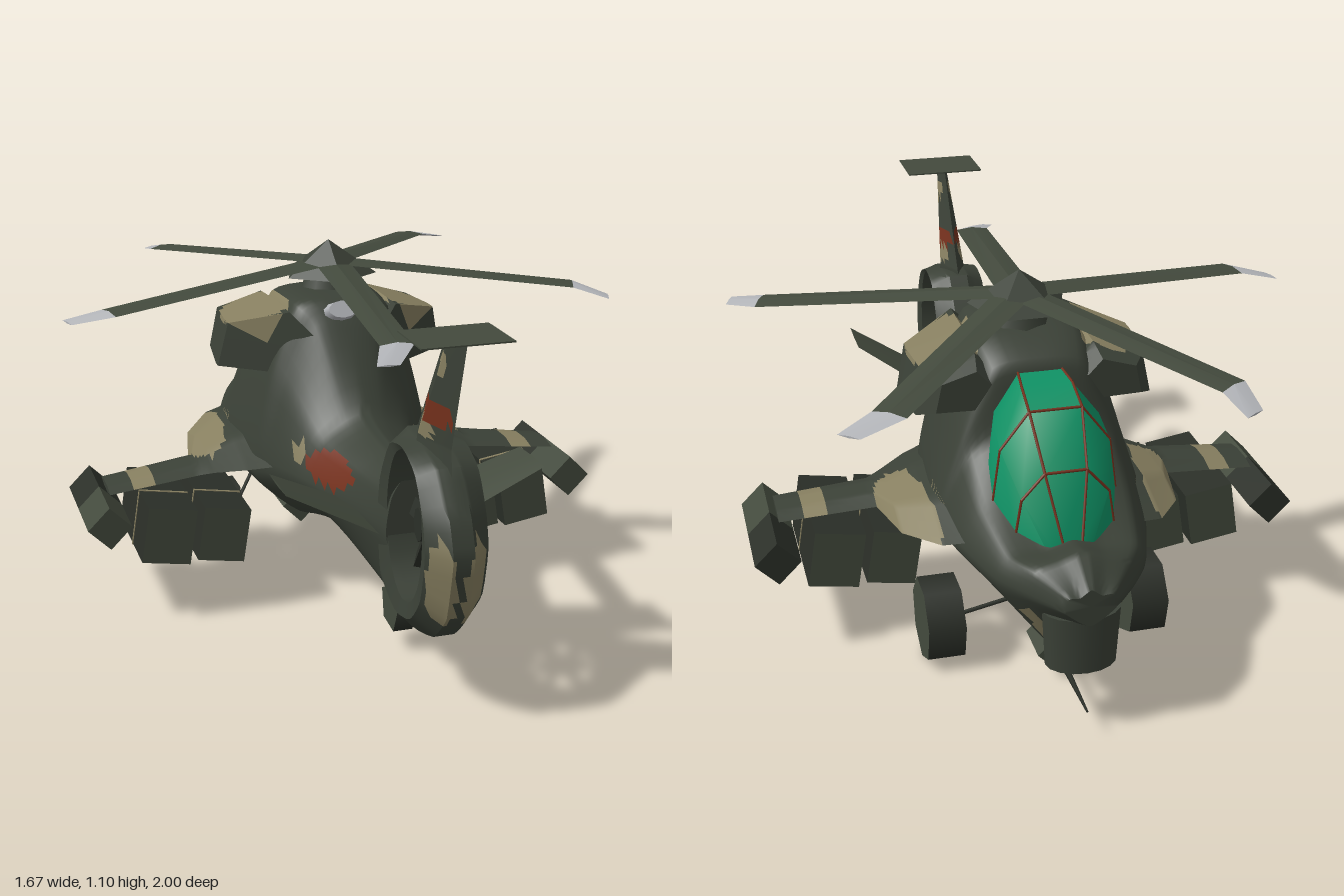
import * as THREE from 'three';
import { toCreasedNormals } from 'three/addons/utils/BufferGeometryUtils.js';

const mat = (name, color) => Object.assign(new THREE.MeshStandardMaterial({ color }), { name });
const V = (x, y, z) => new THREE.Vector3(x, y, z);

export function createModel() {
  const root = new THREE.Group();
  root.name = 'helicopter';
  const body = mat('bodyGreen', 0x3b4137), green = mat('partGreen', 0x434a3d);
  const dark = mat('darkGreen', 0x2b2f28), tan = mat('tan', 0x877f60);
  const red = mat('rust', 0x74301c), glass = mat('canopyTeal', 0x0f9265), grey = mat('lightGrey', 0xb2b4b8);

  // camouflage blobs: material, |x|, y, z and radii
  const patches = [
    [red, .15, .53, .29, .2, .045, .125], [red, 0, .865, .81, .2, .03, .1],
    [tan, .38, .45, -.38, .1, .06, .24], [tan, .62, .4, -.16, .05, .1, .2],
    [tan, .24, .9, -.22, .12, .06, .17], [tan, .045, .43, .96, .04, .14, .06],
    [tan, .18, .54, .13, .1, .03, .025], [tan, 0, .815, .77, .1, .035, .05],
    [tan, 0, 1.01, .855, .1, .035, .025], [tan, .1, .28, -.82, .09, .1, .03],
  ];

  const add = (name, geo, material, parent = root) => {
    const m = new THREE.Mesh(geo, material);
    m.name = name;
    parent.add(m);
    return m;
  };

  // colour each triangle by the blob it lies in
  function painted(name, geo, base) {
    const mats = [base, tan, red], lists = [[], [], []], p = geo.attributes.position;
    const c = V(0, 0, 0), q = V(0, 0, 0);
    for (let i = 0; i < p.count; i += 3) {
      c.set(0, 0, 0);
      for (let k = 0; k < 3; k++) c.add(q.fromBufferAttribute(p, i + k));
      c.divideScalar(3);
      const hit = patches.find(([, x, y, z, a, b, d]) =>
        ((Math.abs(c.x) - x) / a) ** 2 + ((c.y - y) / b) ** 2 + ((c.z - z) / d) ** 2 < 1);
      lists[hit ? mats.indexOf(hit[0]) : 0].push(i, i + 1, i + 2);
    }
    geo.setIndex(lists.flat());
    geo.clearGroups();
    let start = 0;
    lists.forEach((l, i) => { if (l.length) geo.addGroup(start, l.length, i); start += l.length; });
    return add(name, geo, mats);
  }

  // skin through cross-sections, n steps per edge and m steps per station
  function loft(rings, { n = 1, m = 1, smooth = 0, crease = 0.3, closed = false } = {}) {
    const fine = rings.map(r => {
      const c = new THREE.CatmullRomCurve3(r, true, 'catmullrom', smooth), N = r.length * n;
      return Array.from({ length: N }, (_, k) => c.getPoint(k / N));
    });
    const N = fine[0].length, M = (rings.length - (closed ? 0 : 1)) * m, rows = closed ? M : M + 1;
    const cols = fine[0].map((_, k) =>
      new THREE.CatmullRomCurve3(fine.map(r => r[k]), closed, 'catmullrom', smooth));
    const pts = [], idx = [];
    for (let j = 0; j < rows; j++) for (let k = 0; k < N; k++) pts.push(cols[k].getPoint(j / M));
    for (let j = 0; j < M; j++) for (let k = 0; k < N; k++) {
      const a = j * N + k, b = j * N + (k + 1) % N, j2 = ((j + 1) % rows) * N;
      const d = j2 + k, e = j2 + (k + 1) % N;
      idx.push(a, b, e, a, e, d);
    }
    if (!closed) for (const [row, flip] of [[0, 1], [M, 0]]) {
      const mid = V(0, 0, 0);
      for (let k = 0; k < N; k++) mid.addScaledVector(pts[row * N + k], 1 / N);
      const c = pts.push(mid) - 1;
      for (let k = 0; k < N; k++) {
        const a = row * N + k, b = row * N + (k + 1) % N;
        flip ? idx.push(c, b, a) : idx.push(c, a, b);
      }
    }
    // turn the faces outward whichever way the sections ran
    let vol = 0;
    for (let i = 0; i < idx.length; i += 3)
      vol += pts[idx[i]].dot(V(0, 0, 0).crossVectors(pts[idx[i + 1]], pts[idx[i + 2]]));
    if (vol < 0) idx.reverse();
    const g = new THREE.BufferGeometry().setFromPoints(pts);
    g.setIndex(idx);
    return toCreasedNormals(g, crease);
  }

  function rod(name, a, b, r, material = dark, r2 = r) {
    const m = add(name, new THREE.CylinderGeometry(r2, r, a.distanceTo(b), 6), material);
    m.position.copy(a).add(b).multiplyScalar(0.5);
    m.quaternion.setFromUnitVectors(V(0, 1, 0), b.clone().sub(a).normalize());
  }

  // fuselage: z, bottom, half width, waist y, half width, shoulder y, half width, top, half width
  const stations = [
    [-.955, .36, .03, .41, .07, .45, .06, .47, .03], [-.87, .32, .08, .42, .15, .49, .13, .535, .06],
    [-.77, .18, .06, .41, .21, .49, .18, .52, .08], [-.6, .26, .12, .42, .27, .55, .21, .6, .1],
    [-.46, .25, .14, .42, .3, .63, .22, .72, .12], [-.42, .24, .14, .42, .31, .68, .23, .89, .13],
    [-.3, .23, .15, .42, .31, .73, .24, .95, .15], [-.07, .25, .14, .42, .29, .73, .23, .955, .14],
    [0, .27, .13, .43, .26, .69, .2, .9, .1], [.185, .31, .1, .45, .2, .58, .145, .66, .06],
    [.42, .255, .06, .45, .13, .56, .1, .625, .05], [.63, .22, .04, .45, .085, .56, .07, .63, .04],
  ];
  painted('fuselage', loft(stations.map(([z, b, wb, ym, wm, yu, wu, t, wt]) => {
    const half = [[wb, b + .015], [wm, ym], [wu, yu], [wt, t - .02]];
    return [V(0, b, z), ...half.map(([x, y]) => V(x, y, z)), V(0, t, z),
      ...half.reverse().map(([x, y]) => V(-x, y, z))];
  }), { n: 5, m: 6, smooth: .3, crease: .8 }), body);

  // canopy and its frame
  const hoops = [[-.42, .62, .87, .15], [-.5, .6, .86, .172], [-.59, .56, .825, .177], [-.7, .51, .69, .14], [-.775, .48, .515, .065]]
    .map(([z, b, t, w]) => [[-w, b], [-w * .88, b + (t - b) * .6], [-w * .42, t], [w * .42, t],
      [w * .88, b + (t - b) * .6], [w, b]].map(([x, y]) => V(x, y, z)));
  add('canopy', loft(hoops, { crease: .7 }), glass);
  for (const h of [hoops[2], hoops[3]]) for (let k = 0; k < 5; k++) rod('canopyFrame', h[k], h[k + 1], .004, red);
  for (const k of [2, 3]) for (let j = 0; j < 4; j++) rod('canopyFrame', hoops[j][k], hoops[j + 1][k], .004, red);

  // tail shroud around the fan
  const rim = new THREE.CatmullRomCurve3([[1, .52], [.965, .62], [.88, .73], [.76, .765], [.64, .77], [.53, .63],
    [.5, .52], [.5, .4], [.52, .24], [.7, .2], [.865, .245], [.96, .34]]
    .map(([z, y]) => V(0, y, z)), true, 'catmullrom', .2);
  painted('tailShroud', loft(Array.from({ length: 36 }, (_, i) => {
    const o = rim.getPoint(i / 36), a = Math.atan2((o.y - .53) / .22, (o.z - .76) / .15);
    const h = V(0, .53 + .215 * Math.sin(a), .76 + .14 * Math.cos(a));
    return [[0, .08], [.45, .088], [1, .03], [1, -.03], [.45, -.088], [0, -.08]].map(([f, x]) => {
      const p = h.clone().lerp(o, f);
      p.x = x;
      return p;
    });
  }), { n: 4, closed: true, crease: .6 }), body);

  // tail fan
  const fan = new THREE.Group();
  fan.name = 'tailFan';
  fan.position.set(0, .53, .76);
  fan.scale.z = .67;
  root.add(fan);
  add('fanHub', new THREE.CylinderGeometry(.05, .05, .08, 8).rotateZ(Math.PI / 2), dark, fan);
  for (let i = 0; i < 8; i++)
    add('fanBlade', new THREE.BoxGeometry(.02, .2, .05).rotateY(.35).translate(0, .115, 0).rotateX(i * Math.PI / 4), dark, fan);

  // fin and top plate
  painted('tailFin', loft([[.7, .64, .9, .05], [.78, .645, .89, .04], [1.085, .84, .98, .015]].map(([y, a, b, w]) =>
    [V(0, y, a), V(w, y, a + (b - a) * .4), V(0, y, b), V(-w, y, a + (b - a) * .4)]), { n: 6, m: 12 }), body);
  add('tailTopPlate', new THREE.BoxGeometry(.25, .004, .18), green).position.set(.005, 1.085, .89);

  for (const s of [1, -1]) {
    // stub wing growing from a sponson
    painted('stubWing', loft([[.18, -.64, .06, .47, .07], [.32, -.59, -.0, .445, .05], [.41, -.46, -.06, .425, .03],
      [.45, -.27, -.08, .415, .02], [.735, -.24, -.07, .385, .01]].map(([x, f, b, y, t]) => {
      const c = b - f;
      return [[y, f], [y + t, f + c * .3], [y + t, f + c * .7], [y, b], [y - t, f + c * .7], [y - t, f + c * .3]]
        .map(([py, z]) => V(s * x, py, z));
    }), { n: 4, m: 6, crease: .6 }), body);

    // engine nacelle with slanted outlet
    const outline = [[.365, .735], [.335, .875], [.17, .925], [.1, .85], [.18, .73]];
    painted('engineNacelle', loft([[-.43, .6], [-.37, .88], [-.2, 1], [null, 1]].map(([z, k]) =>
      outline.map(([x, y]) => V(s * (.2 + (x - .2) * k), .83 + (y - .83) * k,
        z ?? -.17 + (.36 - x) * .7))), { n: 5, m: 6, crease: .8 }), body);

    // weapon pods: dark sides, green ends and underside, a thin tan band round each
    const sides = [dark, dark, dark, green, green, green];
    for (const [x, y, w, h] of [[.41, .265, .145, .17], [.58, .28, .15, .175]]) {
      const pod = add('weaponPod', new THREE.BoxGeometry(w, h, .38), sides);
      pod.position.set(s * x, y, -.13);
      pod.rotation.z = s * .16;
      add('podBand', new THREE.BoxGeometry(w + .004, h + .004, .01), tan, pod).position.z = .03;
    }
    for (const [z, m] of [[-.2625, dark], [-.0675, green]]) {
      const tip = add('tipPod', new THREE.BoxGeometry(.095, .095, .195), m);
      tip.position.set(s * .755, .315, z);
      tip.rotation.z = Math.PI / 4;
    }

    // raised stabiliser
    add('stabiliser', loft([[.08, .435, .32, .59, .012], [.375, .61, .475, .65, .004]].map(([x, y, a, b, t]) =>
      [V(s * x, y, a), V(s * x, y + t, (a + b) / 2), V(s * x, y, b), V(s * x, y - t, (a + b) / 2)])), green);

    // main landing gear
    add('mainWheel', new THREE.CylinderGeometry(.125, .125, .11, 7, 1, false, -Math.PI / 2).rotateZ(Math.PI / 2), [dark, green, green])
      .position.set(s * .305, .125, -.45);
    rod('mainStrut', V(s * .12, .27, -.62), V(s * .26, .13, -.46), .006);
  }

  // tail wheel
  add('tailWheel', new THREE.CylinderGeometry(.075, .075, .06, 5, 1, false, .2).rotateZ(Math.PI / 2), [dark, green, green])
    .position.set(.03, .13, .42);
  rod('tailStrut', V(0, .31, .28), V(.01, .14, .42), .008);

  // chin sensor and gun
  painted('chinSensor', new THREE.CylinderGeometry(.11, .1, .17, 16, 4).toNonIndexed()
    .scale(1, 1, .7).translate(0, .285, -.868), body);
  const gun = add('gunHousing', new THREE.BoxGeometry(.09, .09, .135), green);
  gun.position.set(0, .09, -.6);
  gun.rotation.z = Math.PI / 4;
  rod('gunMount', V(0, .12, -.6), V(0, .3, -.6), .012);
  rod('gunBarrel', V(0, .08, -.66), V(0, .08, -.945), .012, dark, .003);

  // exhaust, mast and rotor hub
  add('exhaust', new THREE.CylinderGeometry(.045, .065, .09, 10).scale(1, 1, .6).rotateX(1.1), grey)
    .position.set(-.015, .915, -.03);
  add('mast', new THREE.CylinderGeometry(.07, .1, .1, 8), body).position.set(.01, .965, -.225);
  add('rotorHub', toCreasedNormals(new THREE.ConeGeometry(.15, .105, 5), .1), body).position.set(.01, 1.047, -.225);

  // five drooping blades with swept pale tips
  for (let i = 0; i < 5; i++) {
    const f = (-51 + 72 * i) * Math.PI / 180, c = Math.cos(f), n = Math.sin(f);
    const at = (r, y, t) => V(.015 + c * r - n * t, y, -.225 + n * r + c * t);
    const section = ([r, y, w, t, h]) => [at(r, y, t - w), at(r, y + h, t), at(r, y, t + w), at(r, y - h, t)];
    const [a, b, d] = [[.04, 1.03, .055, 0, .012], [.76, .968, .05, 0, .007], [.868, .943, .033, .055, .003]].map(section);
    add('rotorBlade', loft([a, b]), green);
    add('bladeTip', loft([b, d]), grey);
  }

  root.children.forEach(o => { o.position.x += .01; });
  return root;
}
